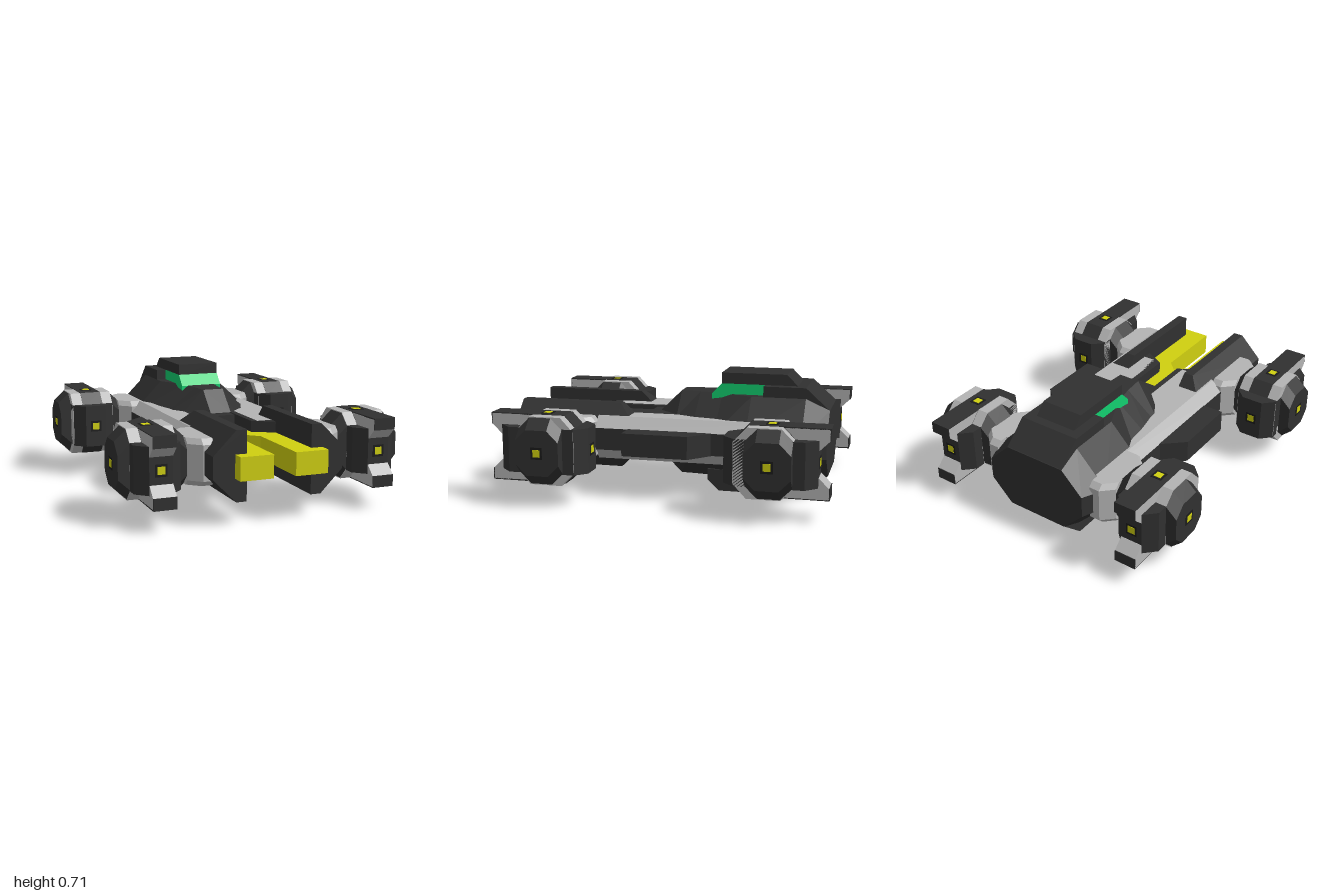
import * as THREE from 'three';

const CY = 0.325; // height of the craft's centre line

function material(name, color) {
  const m = new THREE.MeshStandardMaterial({ color });
  m.name = name;
  return m;
}

// Flat-faced solid through matching convex rings of [x, y, z] points
function loft(rings) {
  const tris = [];
  const n = rings[0].length;
  for (let r = 0; r < rings.length - 1; r++) {
    const a = rings[r], b = rings[r + 1];
    for (let i = 0; i < n; i++) {
      const j = (i + 1) % n;
      tris.push([a[i], a[j], b[j]], [a[i], b[j], b[i]]);
    }
  }
  const first = rings[0], last = rings[rings.length - 1];
  for (let i = 1; i < n - 1; i++) {
    tris.push([first[0], first[i + 1], first[i]], [last[0], last[i], last[i + 1]]);
  }
  // turn every face outwards, also for mirrored parts
  const o = new THREE.Vector3(...first[0]);
  let volume = 0;
  for (const t of tris) {
    const [p, q, s] = t.map((v) => new THREE.Vector3(...v).sub(o));
    volume += p.dot(q.cross(s));
  }
  if (volume < 0) tris.forEach((t) => t.reverse());
  const g = new THREE.BufferGeometry();
  g.setAttribute('position', new THREE.Float32BufferAttribute(tris.flat(2), 3));
  g.computeVertexNormals();
  return g;
}

// Convex 2D outline pushed along one axis from a to b
function prism(axis, pts, a, b) {
  const put = {
    x: (t) => ([z, y]) => [t, y, z],
    y: (t) => ([x, z]) => [x, t, z],
    z: (t) => ([x, y]) => [x, y, t],
  }[axis];
  return loft([pts.map(put(a)), pts.map(put(b))]);
}

function box(x0, x1, y0, y1, z0, z1) {
  return new THREE.BoxGeometry(Math.abs(x1 - x0), Math.abs(y1 - y0), Math.abs(z1 - z0))
    .translate((x0 + x1) / 2, (y0 + y1) / 2, (z0 + z1) / 2);
}

// Octagon with half sizes a, b and corner cuts ca, cb
const octagon = (a, b, ca, cb = ca) => [
  [a, b - cb], [a - ca, b], [ca - a, b], [-a, b - cb],
  [-a, cb - b], [ca - a, -b], [a - ca, -b], [a, cb - b],
];

export function createModel() {
  const dark = material('charcoal', 0x303030);
  const light = material('lightGrey', 0xb4b4b4);
  const black = material('black', 0x1b1b1b);
  const yellow = material('yellow', 0xd0d010);
  const green = material('greenGlass', 0x13d070);

  const model = new THREE.Group();
  model.name = 'spacecraft';
  const add = (parent, name, geometry, mat) => {
    const m = new THREE.Mesh(geometry, mat);
    m.name = name;
    parent.add(m);
  };

  // Main hull: [z, top half width, half height, side half width, side half height]
  const hull = [
    [0.1, 0.065, 0.13, 0.13, 0.065],
    [-0.03, 0.065, 0.257, 0.2, 0.12],
    [-0.15, 0.075, 0.257, 0.33, 0.06],
    [-0.29, 0.1, 0.257, 0.36, 0.06],
    [-0.48, 0.19, 0.257, 0.38, 0.06],
    [-0.8, 0.19, 0.257, 0.38, 0.06],
    [-0.94, 0.19, 0.195, 0.32, 0.065],
  ].map(([z, tw, th, sw, sh]) =>
    octagon(sw, th, sw - tw, th - sh).map(([x, y]) => [x, CY + y, z]));
  add(model, 'hull', loft(hull), dark);

  // Cabin, roof, belly and canopy
  add(model, 'cabinBack', prism('x', [[-0.55, 0.5], [-0.55, 0.645], [-0.8, 0.645], [-0.938, 0.52], [-0.938, 0.5]], -0.19, 0.19), dark);
  add(model, 'roof', prism('x', [[-0.29, 0.645], [-0.29, 0.71], [-0.68, 0.71], [-0.745, 0.645]], -0.13, 0.13), dark);
  add(model, 'belly', prism('x', [[-0.22, 0.065], [-0.29, 0], [-0.8, 0], [-0.938, 0.13], [-0.22, 0.13]], -0.19, 0.19), dark);
  add(model, 'canopy', prism('x', [[-0.23, 0.5], [-0.23, 0.58], [-0.29, 0.645], [-0.55, 0.645], [-0.55, 0.5]], -0.13, 0.13), green);

  // Forked gun
  const gun = new THREE.Group();
  gun.name = 'forkedGun';
  model.add(gun);
  add(gun, 'gunStem', box(-0.065, 0.065, 0.26, 0.39, 0.1, 0.41), yellow);
  add(model, 'gunMount', box(-0.065, 0.065, 0.2, 0.45, 0.05, 0.16), dark);

  // One engine pod, built around its own centre; f is the way its prongs point
  function pod(x, z, f) {
    const g = new THREE.Group();
    g.name = 'enginePod';
    g.position.set(x, CY, z);
    add(g, 'podCore', prism('y', octagon(0.13, 0.258, 0.065), -0.13, 0.13), dark);
    const ring = [
      [-0.195, 0.115], [-0.12, 0.195], [0.065, 0.195], [0.13, 0.13],
      [0.13, -0.13], [0.065, -0.195], [-0.12, -0.195], [-0.195, -0.115],
    ].map(([u, y]) => [u * f, y]);
    add(g, 'podRing', prism('x', ring, -0.13, 0.13), light);
    const band = ring.map(([u, y]) => [u * 1.015, y * 1.01]);
    add(g, 'podBand', prism('x', band, -0.065, 0.065), dark);
    for (const s of [-1, 1]) {
      const disc = (px, h) => octagon(0.128, h, 0.065).map(([w, y]) => [px * s, y, w]);
      add(g, 'podDrum', loft([disc(0.13, 0.19), disc(0.195, 0.13)]), dark);
      // upper and lower prong, grey with dark outer skin
      const prong = [[0.05, 0.192], [0.316, 0.192], [0.316, 0.13], [0.26, 0.075], [0.05, 0.075]];
      add(g, 'prong', prism('x', prong.map(([u, y]) => [u * f, y * s]), -0.065, 0.065), light);
      add(g, 'prongSkin', box(-0.065, 0.065, 0.19 * s, 0.197 * s, 0.05 * f, 0.32 * f), dark);
      add(g, 'prongTip', box(-0.065, 0.065, 0.13 * s, 0.195 * s, 0.314 * f, 0.32 * f), dark);
      // small framed lamps
      const lamps = [
        [0.034, 0.002, black, 'lampFrame'], [0.021, 0.004, yellow, 'lamp'],
      ];
      for (const [r, t, mat, name] of lamps) {
        add(g, name, box((0.194) * s, (0.195 + t) * s, -r, r, -r, r), mat);
        add(g, name, box(-r, r, 0.196 * s, (0.197 + t) * s, -r, r), mat);
        add(g, name, box(-r, r, -r, r, 0.257 * s, (0.258 + t) * s), mat);
      }
    }
    return g;
  }

  // Everything that is mirrored left and right
  for (const s of [-1, 1]) {
    const flip = (pts) => pts.map(([x, y]) => [x * s, y]);

    // front arm with bevelled inner end
    const arm = (z, h) => [
      [0.19, h], [0.445 - h, h], [0.382, 0.063], [0.382, -0.063], [0.445 - h, -h], [0.19, -h],
    ].map(([x, y]) => [x * s, CY + y, z]);
    add(model, 'frontArm', loft([arm(0.235, 0.13), arm(0.3, 0.195), arm(0.93, 0.195)]), dark);
    add(model, 'innerSpine', prism('y', flip([[0.065, -0.05], [0.19, -0.05], [0.19, 0.48], [0.065, 0.41]]), 0.195, 0.455), dark);

    // grey side beam with dark side panel and outer armour
    const beam = [[0.1, 0.13], [0.325, 0.13], [0.388, 0.065], [0.388, -0.065], [0.325, -0.13], [0.1, -0.13]];
    add(model, 'sideBeam', prism('z', flip(beam).map(([x, y]) => [x, CY + y]), -0.8, 0.42), light);
    add(model, 'sidePanel', box(0.386 * s, 0.391 * s, 0.26, 0.39, -0.49, 0.42), dark);
    add(model, 'sideArmour', prism('y', flip([[0.38, -0.29], [0.513, -0.17], [0.513, 0.22], [0.38, 0.22]]), 0.258, 0.392), dark);

    // gun fork
    add(gun, 'gunFork', prism('y', flip([[0, 0.41], [0.065, 0.41], [0.19, 0.48], [0.19, 0.545], [0.065, 0.545], [0, 0.48]]), 0.26, 0.39), yellow);
    add(gun, 'gunBarrel', box(0.065 * s, 0.19 * s, 0.26, 0.39, 0.545, 0.93), yellow);
    add(gun, 'gunTip', box(0.065 * s, 0.257 * s, 0.26, 0.39, 0.93, 1), yellow);

    // struts and pods
    for (const [z, f] of [[0.61, 1], [-0.68, -1]]) {
      const strut = (x, w) => octagon(w, 0.13, 0.03).map(([u, y]) => [x * s, CY + y, z + u]);
      add(model, 'podStrut', loft([strut(0.325, 0.195), strut(0.388, 0.195), strut(0.455, 0.13)]), light);
      model.add(pod(0.645 * s, z, f));
    }
  }
  return model;
}
